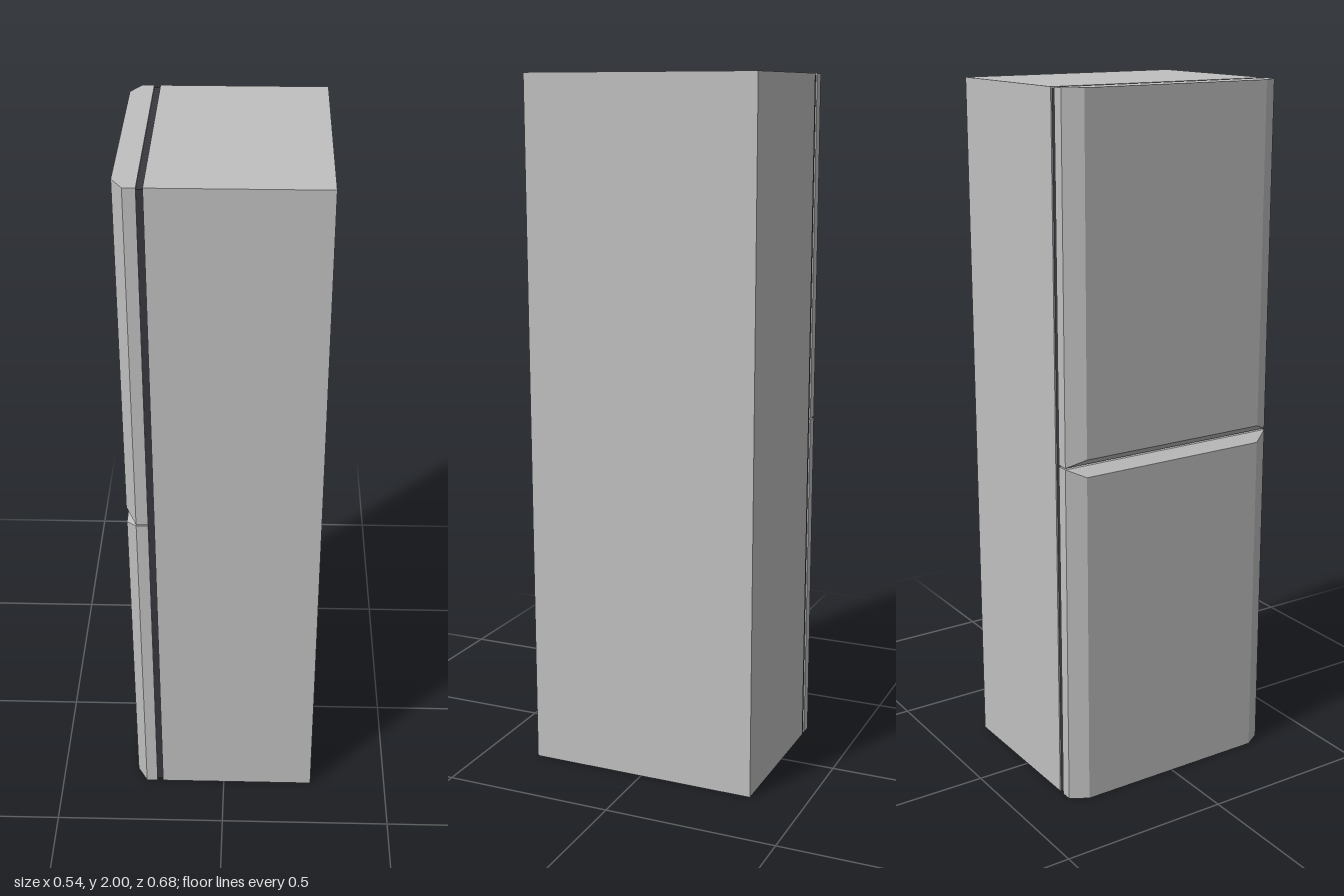
import * as THREE from 'three';
import { ConvexGeometry } from 'three/addons/geometries/ConvexGeometry.js';

export function createModel() {
  const group = new THREE.Group();
  const grey = new THREE.MeshStandardMaterial({ color: 0xc0c0c0 });
  grey.name = 'light grey';
  const dark = new THREE.MeshStandardMaterial({ color: 0x38383f });
  dark.name = 'dark rubber';

  function add(name, geometry, material, x = 0, y = 0) {
    const mesh = new THREE.Mesh(geometry, material);
    mesh.name = name;
    mesh.position.set(x, y, 0);
    group.add(mesh);
  }

  // Cabinet; the doors face -x
  add('cabinet', new THREE.BoxGeometry(0.46, 2, 0.68), grey, 0.04, 1);

  // Sealing strip between cabinet and doors, slightly inset
  add('doorSeal', new THREE.BoxGeometry(0.018, 1.99, 0.672), dark, -0.199, 1);

  // Door: chamfered along both sides and along the edge at the middle split
  // Each section is [x, half width, distance of the split edge from mid height]
  const sections = [[-0.207, 0.34, 0.002], [-0.24, 0.34, 0.002], [-0.27, 0.29, 0.025]];
  for (const [name, side] of [['upperDoor', 1], ['lowerDoor', -1]]) {
    const points = [];
    for (const [x, w, gap] of sections) {
      for (const z of [-w, w]) {
        points.push(new THREE.Vector3(x, 1 + side * gap, z), new THREE.Vector3(x, 1 + side, z));
      }
    }
    add(name, new ConvexGeometry(points), grey);
  }
  return group;
}
